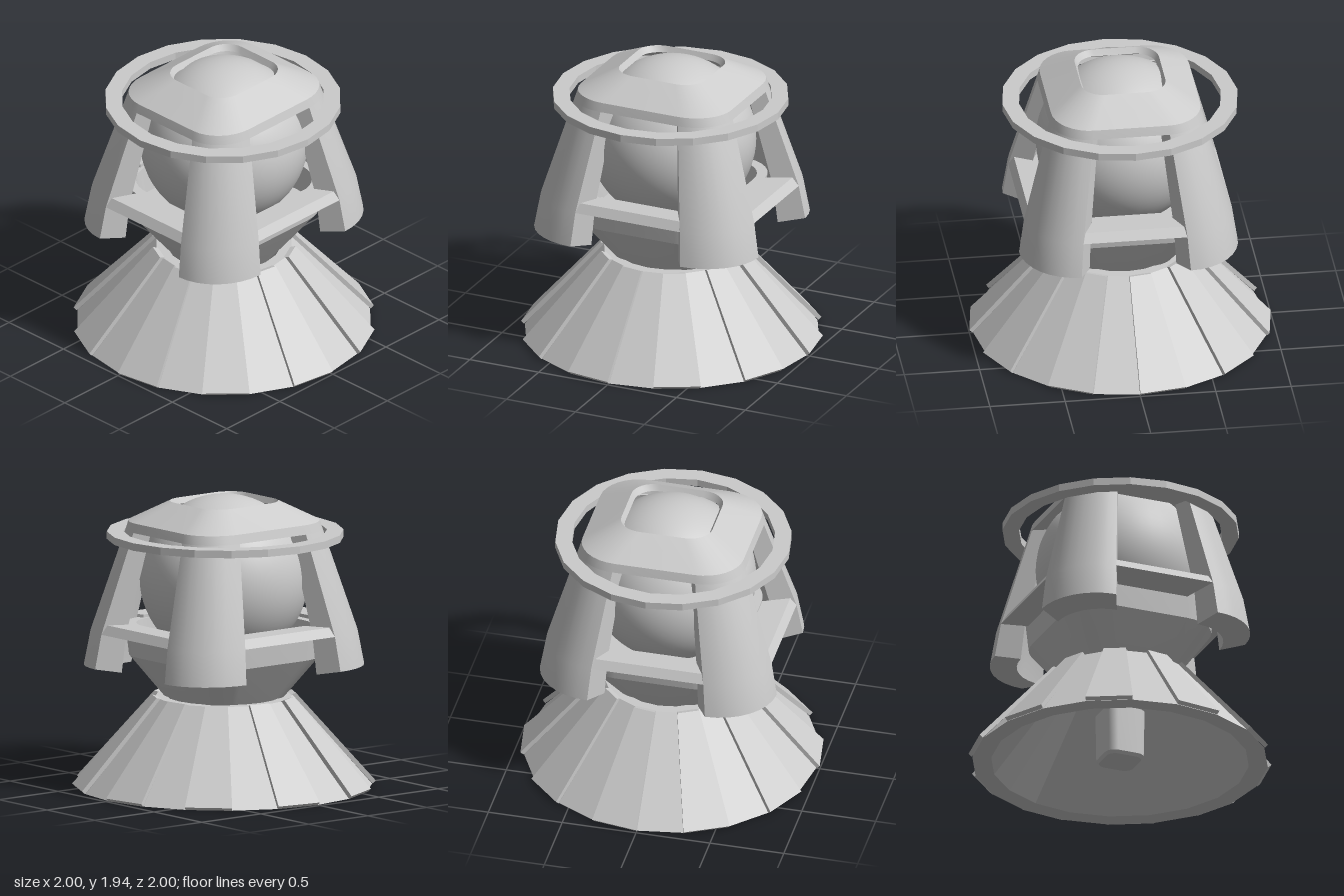
import * as THREE from 'three';
import { toCreasedNormals } from 'three/addons/utils/BufferGeometryUtils.js';

const ARC = 8; // steps per rounded corner
const material = new THREE.MeshStandardMaterial({ color: 0xcccccc });

// Unit rounded square: four corner arcs of radius 0.5, optionally stretched in z
function cornerArc(k, stretch) {
  const mid = (k + 0.5) * Math.PI / 2;
  const cx = 0.5 * Math.sign(Math.cos(mid)), cz = 0.5 * Math.sign(Math.sin(mid));
  return Array.from({ length: ARC + 1 }, (_, j) => {
    const a = (k + j / ARC) * Math.PI / 2;
    return [cx + 0.5 * Math.cos(a), (cz + 0.5 * Math.sin(a)) * stretch];
  });
}
const roundedSquare = (stretch) => [0, 1, 2, 3].flatMap((k) => cornerArc(k, stretch));
const circle = (n, start = 0, count = n) => Array.from({ length: count }, (_, i) => {
  const a = (start + i) * 2 * Math.PI / n;
  return [Math.cos(a), Math.sin(a)];
});

// Sweeps a [size, y] profile (up the outside, down the inside) along directions.
// Open sweeps get end caps joining the outside and inside halves of the profile.
function sweep(name, profile, dirs, closed, crease = 0.5) {
  const n = dirs.length, m = profile.length, pos = [], idx = [];
  for (const [x, z] of dirs) for (const [s, y] of profile) pos.push(x * s, y, z * s);
  const quad = (a, b, c, d) => idx.push(a, b, c, a, c, d);
  for (let i = 0; i < (closed ? n : n - 1); i++) {
    const p = i * m, q = ((i + 1) % n) * m;
    for (let j = 0; j < m; j++) {
      const k = (j + 1) % m;
      quad(p + j, p + k, q + k, q + j);
    }
  }
  if (!closed) {
    const e = (n - 1) * m;
    for (let i = 0; i < m / 2 - 1; i++) {
      quad(m - 1 - i, m - 2 - i, i + 1, i);
      quad(e + i, e + i + 1, e + m - 2 - i, e + m - 1 - i);
    }
  }
  const geo = new THREE.BufferGeometry();
  geo.setAttribute('position', new THREE.Float32BufferAttribute(pos, 3));
  geo.setIndex(idx);
  const mesh = new THREE.Mesh(toCreasedNormals(geo, crease), material);
  mesh.name = name;
  return mesh;
}

export function createModel() {
  const group = new THREE.Group();
  group.name = 'capsule';
  const STRETCH = 1.1;

  // Conical skirt with ten raised plates on every second facet
  group.add(sweep('skirt',
    [[0.85, 0], [0.975, 0], [0.45, 0.6], [0.38, 0.6]], circle(20), true, 0.1));
  for (let i = 0; i < 10; i++) {
    group.add(sweep('skirtPlate',
      [[0.98, 0], [1.0, 0.02], [0.475, 0.61], [0.44, 0.6]], circle(20, 2 * i + 4, 2), false, 0.1));
  }

  // Hollow bowl tapering to a central peg
  group.add(sweep('bowl',
    [[0, 0], [0.12, 0], [0.135, 0.02], [0.14, 0.34], [0.33, 0.6], [0.52, 0.87],
      [0.54, 1.08], [0.48, 1.08], [0.46, 0.9], [0, 0.9]], roundedSquare(1), true));

  // Ball held inside the cage
  const ball = new THREE.Mesh(new THREE.SphereGeometry(0.555, 48, 32), material);
  ball.name = 'ball';
  ball.position.y = 1.385;
  group.add(ball);

  // Four corner pillars, with a bar across each window
  for (let k = 0; k < 4; k++) {
    const arc = cornerArc(k, STRETCH), next = cornerArc((k + 1) % 4, STRETCH);
    group.add(sweep('pillar',
      [[0.725, 0.81], [0.69, 1.04], [0.51, 1.71], [0.41, 1.71], [0.55, 1.04], [0.575, 0.78]],
      arc, false));
    group.add(sweep('windowBar',
      [[0.5, 1.01], [0.69, 1.04], [0.655, 1.1], [0.5, 1.1]], [arc[ARC], next[0]], false));
  }

  // Domed cap with a rounded square opening
  group.add(sweep('cap',
    [[0.51, 1.71], [0.495, 1.77], [0.28, 1.9], [0.26, 1.86], [0.43, 1.75], [0.42, 1.71]],
    roundedSquare(STRETCH), true));

  // Flat ring around the cap
  const ring = sweep('ring',
    [[0.67, 1.65], [0.78, 1.65], [0.78, 1.7], [0.67, 1.7]], circle(20), true, 0.1);
  ring.position.z = 0.01;
  group.add(ring);

  return group;
}
